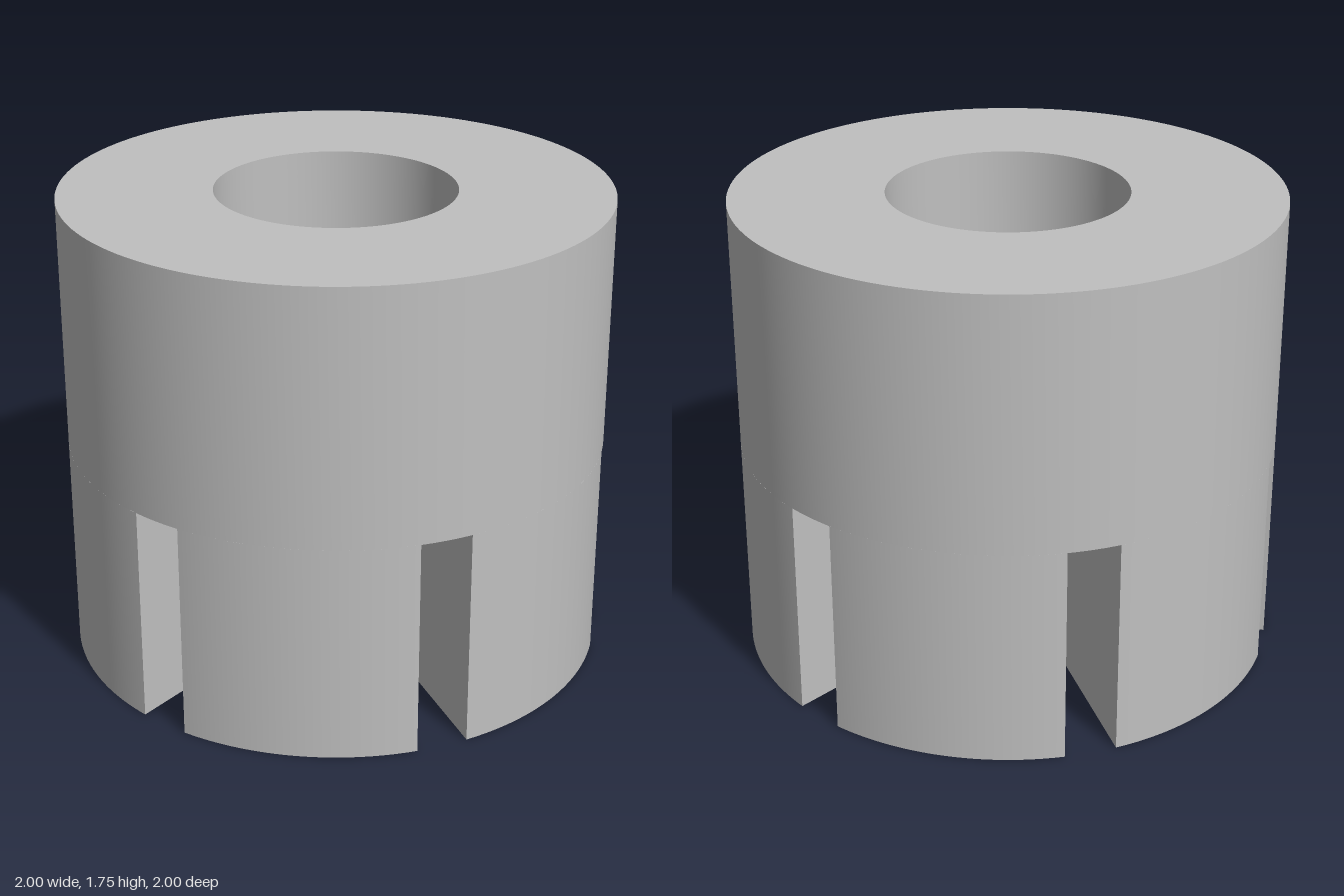
import * as THREE from 'three';
import { toCreasedNormals } from 'three/addons/utils/BufferGeometryUtils.js';

const OUTER = 1, BORE = 0.315, COUNTERBORE = 0.44;
const HEIGHT = 1.75, STEP_Y = 1.01, SLOT_Y = 0.815, FLOOR_Y = 0.155;
const SLOT_HALF = 0.095, HUB_APOTHEM = 0.25;
const SLOTS = 6, PITCH = (Math.PI * 2) / SLOTS;

// angle at which a slot wall meets a circle of radius r
const slotAngle = (r) => Math.asin(SLOT_HALF / r);

// extrude a plan shape upwards from y = 0
function extrudeUp(shape, height) {
  const geo = new THREE.ExtrudeGeometry(shape, { depth: height, bevelEnabled: false, curveSegments: 24 });
  geo.rotateX(-Math.PI / 2);
  return toCreasedNormals(geo, 0.4);
}

export function createModel() {
  const group = new THREE.Group();
  const grey = new THREE.MeshStandardMaterial({ color: 0xc0c0c0 });
  grey.name = 'plain grey';

  function add(name, geo) {
    const mesh = new THREE.Mesh(geo, grey);
    mesh.name = name;
    group.add(mesh);
    return mesh;
  }

  // solid collar above the slots, with a stepped bore
  const profile = [
    [BORE, SLOT_Y], [OUTER, SLOT_Y], [OUTER, HEIGHT], [COUNTERBORE, HEIGHT],
    [COUNTERBORE, STEP_Y], [BORE, STEP_Y], [BORE, SLOT_Y],
  ].map(([x, y]) => new THREE.Vector2(x, y));
  add('collar', toCreasedNormals(new THREE.LatheGeometry(profile, 144), 0.4));

  // six wedge-shaped legs between the parallel-sided slots
  const wedge = new THREE.Shape();
  const ao = slotAngle(OUTER), ai = slotAngle(BORE);
  wedge.absarc(0, 0, OUTER, ao, PITCH - ao, false);
  wedge.absarc(0, 0, BORE, PITCH - ai, ai, true);
  wedge.closePath();
  const wedgeGeo = extrudeUp(wedge, SLOT_Y);
  for (let i = 0; i < SLOTS; i++) {
    add('leg' + (i + 1), wedgeGeo).rotation.y = i * PITCH;
  }

  // floor closing the bore, notched where each slot ends
  const hub = new THREE.Shape();
  for (let i = 0; i < SLOTS; i++) {
    const a = i * PITCH, c = Math.cos(a), s = Math.sin(a);
    const corner = (v) => [HUB_APOTHEM * c - v * s, HUB_APOTHEM * s + v * c];
    if (i === 0) hub.moveTo(...corner(-SLOT_HALF));
    else hub.lineTo(...corner(-SLOT_HALF));
    hub.lineTo(...corner(SLOT_HALF));
    hub.absarc(0, 0, BORE, a + ai, a + PITCH - ai, false);
  }
  hub.closePath();
  add('boreFloor', extrudeUp(hub, FLOOR_Y));

  return group;
}
